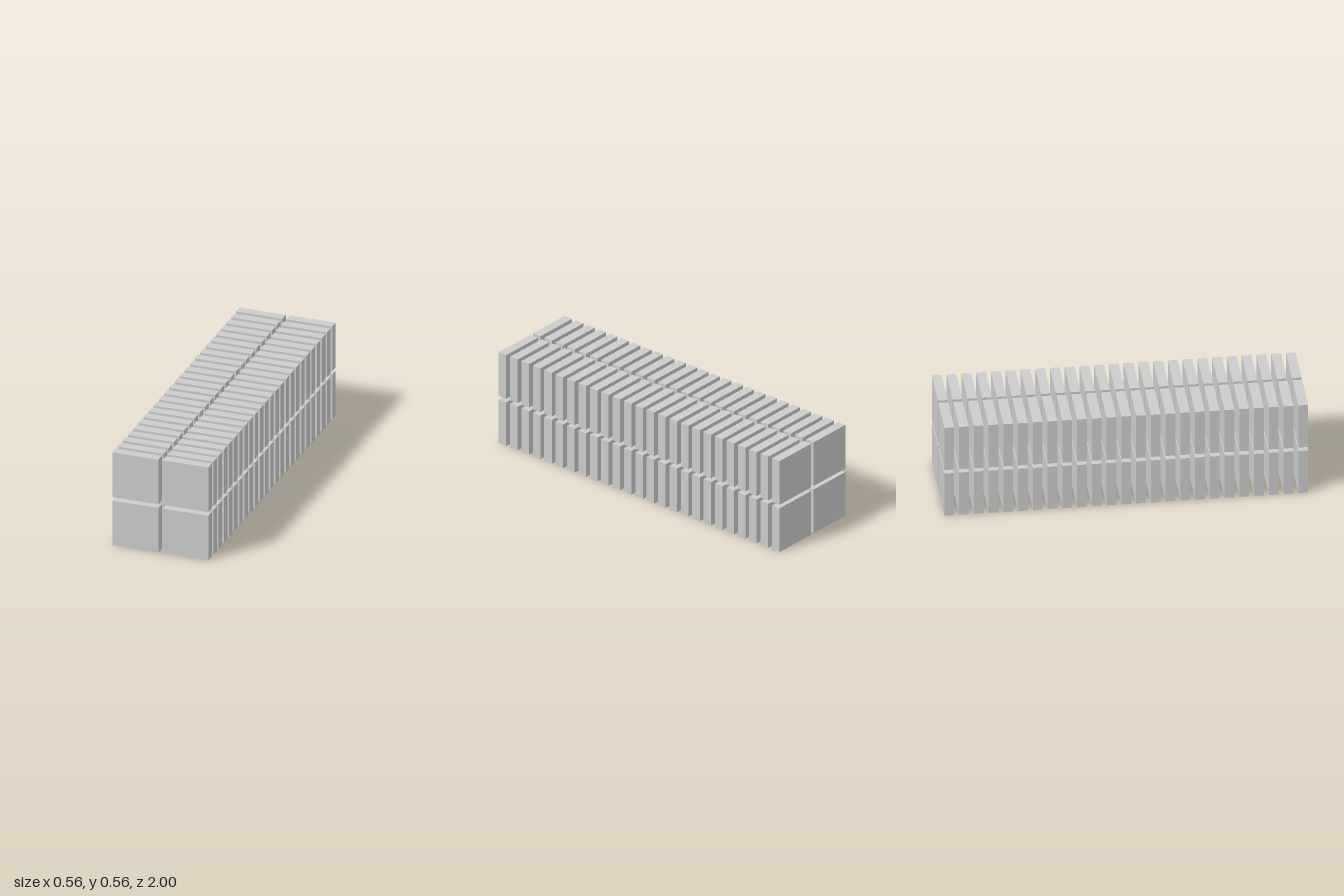
import * as THREE from 'three';

const SIZE = 0.2685;    // width and height of one slab
const DEPTH = 0.0537;   // thickness of one slab
const PITCH = 0.2905;   // spacing across and up
const COUNT = 25;       // slabs along the length

export function createModel() {
  const model = new THREE.Group();
  model.name = 'slabStack';
  const material = new THREE.MeshStandardMaterial({ color: 0xcccccc, flatShading: true });
  const geometry = new THREE.BoxGeometry(SIZE, SIZE, DEPTH);
  const step = (2 - DEPTH) / (COUNT - 1);

  // Four rows of evenly spaced slabs: two side by side, two high
  for (const [level, y] of [['lower', SIZE / 2], ['upper', SIZE / 2 + PITCH]]) {
    for (const [side, x] of [['Right', -PITCH / 2], ['Left', PITCH / 2]]) {
      const row = new THREE.Group();
      row.name = `${level}${side}Row`;
      row.position.set(x, y, 0);
      for (let i = 0; i < COUNT; i++) {
        const slab = new THREE.Mesh(geometry, material);
        slab.name = `slab${i + 1}`;
        slab.position.z = (i - (COUNT - 1) / 2) * step;
        row.add(slab);
      }
      model.add(row);
    }
  }
  return model;
}
